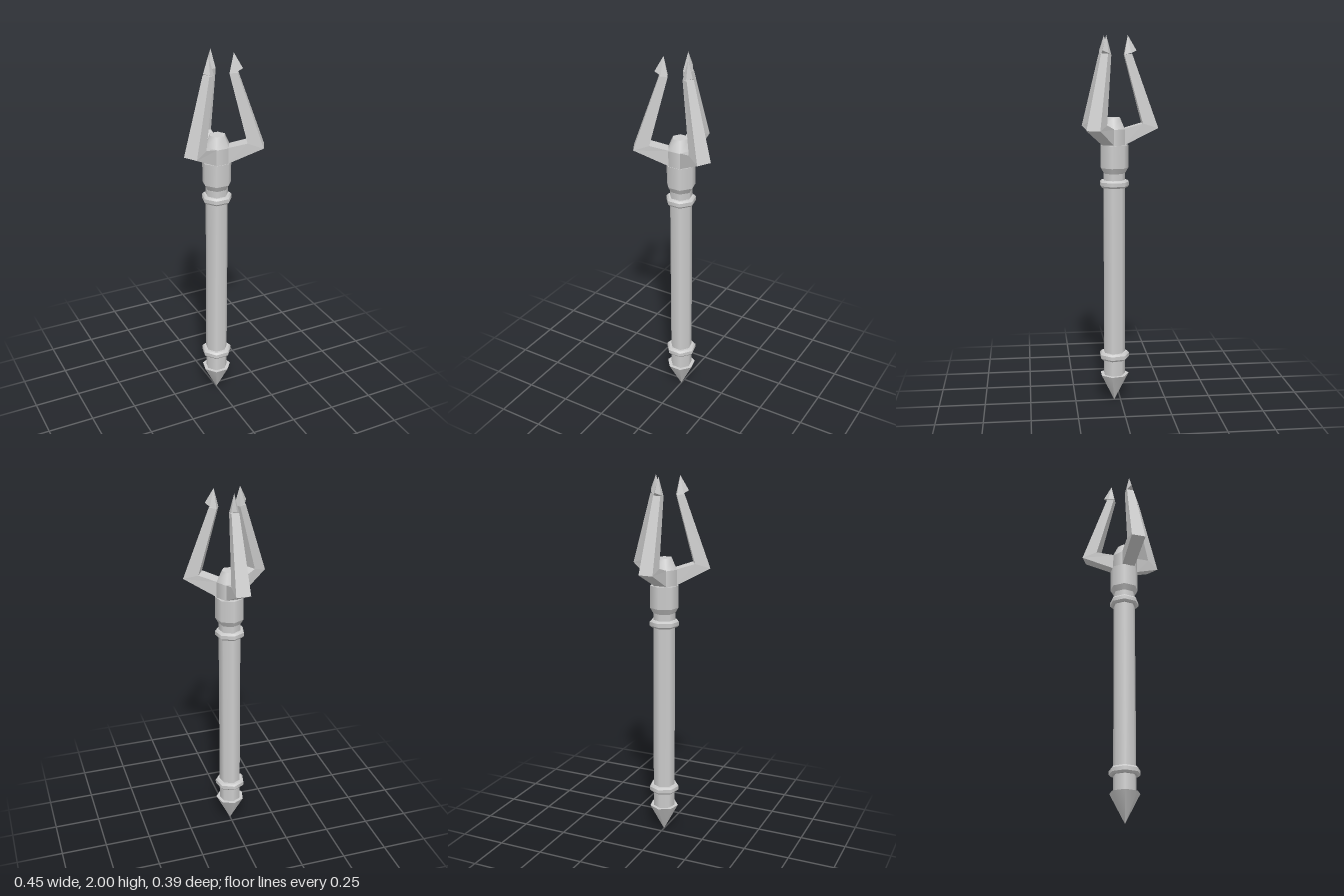
import * as THREE from 'three';
import { ConvexGeometry } from 'three/addons/geometries/ConvexGeometry.js';

const smooth = new THREE.MeshStandardMaterial({ color: 0xcccccc });
const flat = new THREE.MeshStandardMaterial({ color: 0xcccccc, flatShading: true });

// Upright tapered prism between two heights
function frustum(name, y0, r0, y1, r1, sides, start, open = false) {
  const geo = new THREE.CylinderGeometry(r1, r0, y1 - y0, sides, 1, open, start);
  const mesh = new THREE.Mesh(geo, smooth);
  mesh.name = name;
  mesh.position.y = (y0 + y1) / 2;
  return mesh;
}

// Solid through four-cornered sections, each [inner r, inner y, outer r, outer y, half width]
function loft(sections) {
  const rings = sections.map(([ri, yi, ro, yo, w]) =>
    [[-w, yi, ri], [w, yi, ri], [w, yo, ro], [-w, yo, ro]]);
  const pos = [];
  const quad = (a, b, c, d) => pos.push(...a, ...b, ...c, ...a, ...c, ...d);
  for (let k = 0; k < rings.length - 1; k++) {
    const s = rings[k], t = rings[k + 1];
    for (let i = 0; i < 4; i++) {
      const j = (i + 1) % 4;
      quad(s[i], t[i], t[j], s[j]);
    }
  }
  quad(...rings[0]);
  quad(...rings[rings.length - 1].slice().reverse());
  const geo = new THREE.BufferGeometry();
  geo.setAttribute('position', new THREE.Float32BufferAttribute(pos, 3));
  geo.computeVertexNormals();
  return geo;
}

export function createModel() {
  const model = new THREE.Group();
  model.name = 'trident';

  // Seven-sided handle
  const handle = new THREE.Group();
  handle.name = 'handle';
  handle.position.z = 0.035;
  model.add(handle);
  const round = (name, y0, r0, y1, r1) => handle.add(frustum(name, y0, r0, y1, r1, 7, Math.PI));
  round('buttSpike', 0.005, 0, 0.16, 0.08);
  round('shaft', 0.15, 0.06, 1.28, 0.06);
  round('socketTaper', 1.275, 0.057, 1.31, 0.077);
  round('socket', 1.31, 0.077, 1.43, 0.077);

  // Bevelled rings near both ends of the shaft
  for (const [name, y, r] of [['lowerRing', 0.268, 0.083], ['upperRing', 1.224, 0.08]]) {
    round(name + 'Bottom', y - 0.02, r - 0.009, y - 0.01, r);
    round(name + 'Band', y - 0.01, r, y + 0.01, r);
    round(name + 'Top', y + 0.01, r, y + 0.02, r - 0.009);
  }

  // Six-sided hub carrying the prongs
  const head = new THREE.Group();
  head.name = 'head';
  head.position.z = 0.041;
  model.add(head);
  head.add(frustum('hub', 1.43, 0.07, 1.515, 0.07, 6, Math.PI / 2));
  head.add(frustum('hubCap', 1.515, 0.07, 1.575, 0.042, 6, Math.PI / 2));

  // Bent arm: out from the hub, then up and inwards
  const armGeo = loft([
    [0.05, 1.515, 0.055, 1.43, 0.035],
    [0.155, 1.545, 0.237, 1.52, 0.039],
    [0.06, 1.9, 0.1, 1.905, 0.02],
  ]);
  // Barbed point with an outer ridge
  const pointGeo = new ConvexGeometry([
    [-0.02, 1.9, 0.06], [0.02, 1.9, 0.06],
    [-0.02, 1.908, 0.094], [0.02, 1.908, 0.094],
    [0, 1.922, 0.125], [0, 2, 0.079],
  ].map((p) => new THREE.Vector3(...p)));

  for (let k = 0; k < 3; k++) {
    const prong = new THREE.Group();
    prong.name = ['backProng', 'leftProng', 'rightProng'][[0, 2, 1][k]];
    const arm = new THREE.Mesh(armGeo, flat);
    arm.name = 'prongArm';
    const point = new THREE.Mesh(pointGeo, flat);
    point.name = 'prongPoint';
    prong.add(arm, point);
    prong.rotation.y = Math.PI + (k * Math.PI * 2) / 3;
    head.add(prong);
  }
  return model;
}
